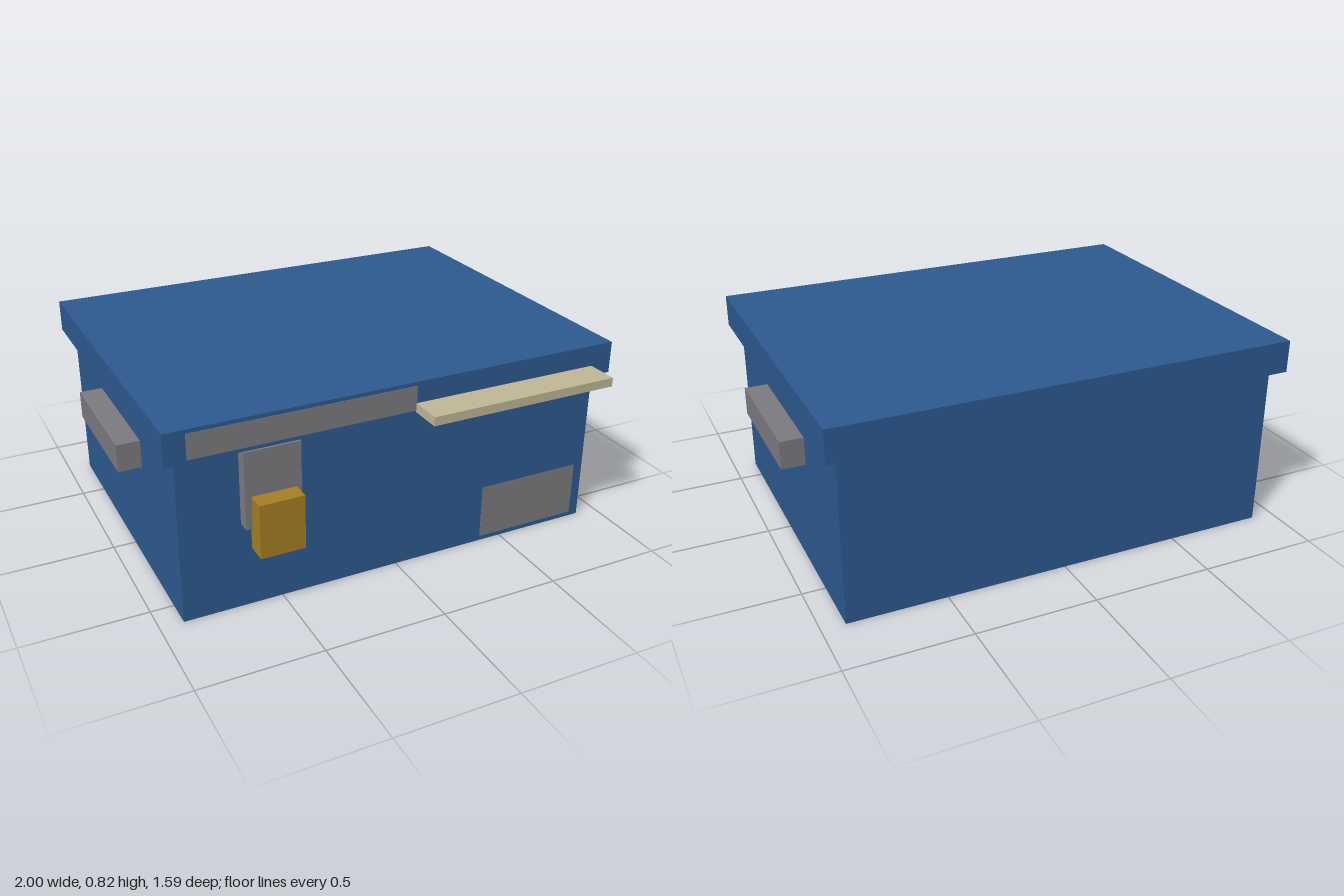
import * as THREE from 'three';

const material = (name, color) => {
  const m = new THREE.MeshStandardMaterial({ color });
  m.name = name;
  return m;
};

export function createModel() {
  const blue = material('blue paint', 0x2d5a90);
  const steel = material('grey steel', 0x7d7b80);
  const brass = material('brass', 0xa68022);
  const cream = material('cream', 0xc1b896);

  const group = new THREE.Group();
  group.name = 'lockBox';

  // Box given by its extents along each axis
  const box = (name, mat, [x0, x1], [y0, y1], [z0, z1]) => {
    const mesh = new THREE.Mesh(new THREE.BoxGeometry(x1 - x0, y1 - y0, z1 - z0), mat);
    mesh.position.set((x0 + x1) / 2, (y0 + y1) / 2, (z0 + z1) / 2);
    mesh.name = name;
    group.add(mesh);
  };

  // Body and overhanging lid
  box('body', blue, [-0.905, 0.905], [0, 0.685], [-0.75, 0.615]);
  box('lid', blue, [-0.953, 0.953], [0.685, 0.818], [-0.795, 0.66]);

  // Side handles
  box('leftHandle', steel, [0.905, 1], [0.457, 0.572], [-0.34, 0.202]);
  box('rightHandle', steel, [-1, -0.905], [0.457, 0.572], [-0.34, 0.202]);

  // Hasp and padlock
  box('hasp', steel, [-0.662, -0.437], [0.365, 0.684], [0.615, 0.668]);
  box('padlock', brass, [-0.637, -0.457], [0.276, 0.5], [0.655, 0.742]);

  // Thin plates on the lid rim and the body front
  box('lidPlate', steel, [-0.868, 0.046], [0.7, 0.802], [0.658, 0.662]);
  box('bodyPlate', steel, [0.402, 0.863], [0.02, 0.252], [0.613, 0.617]);

  // Ledge sticking out of the lid front
  box('ledge', cream, [0.043, 0.861], [0.693, 0.73], [0.655, 0.795]);

  return group;
}
